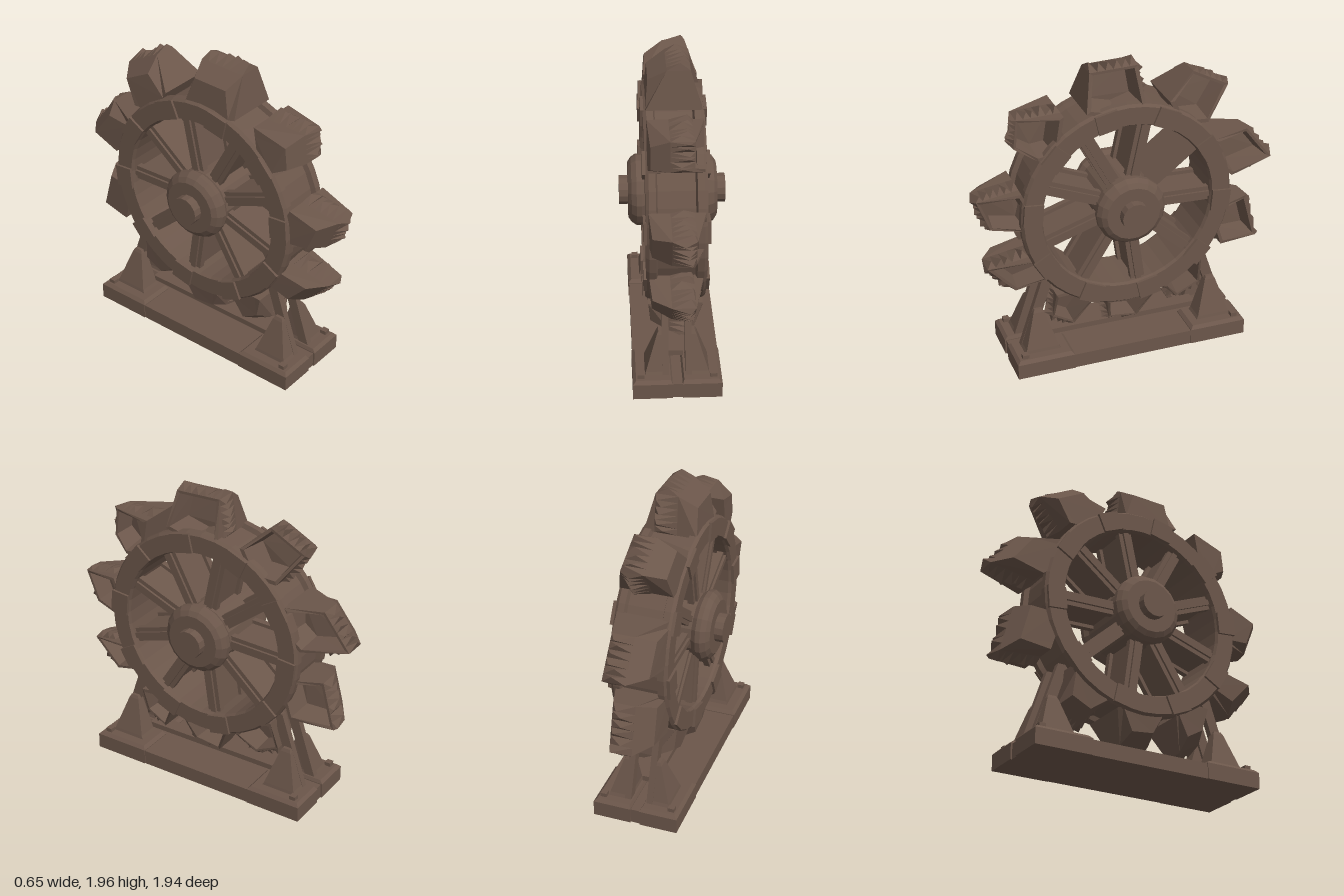
import * as THREE from 'three';

const CY = 1.03, CZ = 0.035; // wheel centre
const iron = new THREE.MeshStandardMaterial({ color: 0x6b564a, flatShading: true, side: THREE.DoubleSide });
iron.name = 'rusty iron';

function add(parent, geometry, name, x = 0, y = 0, z = 0) {
  const mesh = new THREE.Mesh(geometry, iron);
  mesh.name = name;
  mesh.position.set(x, y, z);
  parent.add(mesh);
  return mesh;
}

const box = (parent, name, w, h, d, x, y, z) => add(parent, new THREE.BoxGeometry(w, h, d), name, x, y, z);

// Skin a list of equal-length point loops and close both ends
function loft(loops) {
  const pos = [];
  const tri = (...pts) => pts.forEach((p) => pos.push(p.x, p.y, p.z));
  const n = loops[0].length;
  for (let s = 0; s < loops.length - 1; s++) {
    for (let i = 0; i < n; i++) {
      const j = (i + 1) % n, a = loops[s], b = loops[s + 1];
      tri(a[i], b[i], b[j]);
      tri(a[i], b[j], a[j]);
    }
  }
  for (const end of [loops[0], loops[loops.length - 1]]) {
    for (let i = 1; i < n - 1; i++) tri(end[0], end[i], end[i + 1]);
  }
  return geometryFrom(pos);
}

function geometryFrom(pos) {
  const g = new THREE.BufferGeometry();
  g.setAttribute('position', new THREE.Float32BufferAttribute(pos, 3));
  g.computeVertexNormals();
  return g;
}

// Turned part around the axle: points are [radius, x]
function turned(points, segments) {
  const g = new THREE.LatheGeometry(points.map(([r, x]) => new THREE.Vector2(r, x)), segments);
  return g.rotateZ(-Math.PI / 2);
}

let seed = 7;
const rand = () => (seed = (seed * 16807) % 2147483647) / 2147483647;

// Side profiles [z, y] of the buckets: back root, outer back, outer tip, front root
const BUCKETS = [
  [[0.29, 1.68], [0.25, 1.91], [-0.05, 1.92], [-0.08, 1.68]],
  [[-0.23, 1.68], [-0.40, 1.83], [-0.63, 1.71], [-0.48, 1.51]],
  [[-0.53, 1.38], [-0.77, 1.39], [-0.94, 1.17], [-0.65, 1.12]],
  [[-0.56, 0.90], [-0.78, 0.92], [-0.86, 0.62], [-0.59, 0.64]],
  [[-0.46, 0.56], [-0.48, 0.35], [-0.32, 0.27], [-0.21, 0.40]],
  [[-0.14, 0.37], [-0.05, 0.19], [0.14, 0.21], [0.17, 0.37]],
  [[0.27, 0.40], [0.37, 0.22], [0.51, 0.30], [0.50, 0.49]],
  [[0.50, 0.63], [0.74, 0.54], [0.91, 0.72], [0.60, 0.77]],
  [[0.66, 0.97], [0.88, 0.99], [0.96, 1.19], [0.70, 1.23]],
  [[0.59, 1.43], [0.72, 1.50], [0.70, 1.68], [0.43, 1.69]],
];

function bucket(profile) {
  const group = new THREE.Group();
  group.name = 'bucket';
  const pts = profile.map(([z, y]) => new THREE.Vector2(z, y));
  const mid = pts.reduce((s, p) => s.add(p), new THREE.Vector2()).multiplyScalar(0.25);
  const hub = new THREE.Vector2(CZ, CY);
  const root = mid.clone().sub(hub).setLength(0.6).add(hub);
  pts.push(root); // buried in the rim
  const outer = (i) => i === 1 || i === 2;
  const section = (centre, scale, xRoot, xOuter) => pts.map((p, i) => {
    const q = centre.clone().lerp(p, scale);
    return new THREE.Vector3(outer(i) ? xOuter : xRoot, q.y, q.x);
  });
  // closed shell on one side, hollow on the other
  add(group, loft([
    section(root, 0.76, -0.165, -0.15),
    section(root, 1, -0.165, -0.04),
    section(root, 1, 0.165, 0.1),
    section(mid, 0.86, 0.165, 0.1),
    section(mid, 0.72, 0, -0.03),
  ]), 'bucket shell');

  // ragged cutting teeth along the outer and leading edges
  const pos = [];
  for (const e of [1, 2]) {
    const a = pts[e], b = pts[e + 1];
    const along = b.clone().sub(a);
    const out = new THREE.Vector2(-along.y, along.x).normalize();
    if (out.dot(mid.clone().sub(a)) > 0) out.negate();
    const n = 6;
    for (let i = 0; i < n; i++) {
      const p = a.clone().lerp(b, i / n), q = a.clone().lerp(b, (i + 1) / n);
      const t = a.clone().lerp(b, (i + 0.25 + 0.7 * rand()) / n).addScaledVector(out, 0.02 + 0.025 * rand());
      const x = 0.1, back = -0.04, tip = 0.02 + 0.07 * rand();
      pos.push(x, p.y, p.x, x, q.y, q.x, tip, t.y, t.x);
      pos.push(back, q.y, q.x, back, p.y, p.x, tip, t.y, t.x);
      pos.push(back, p.y, p.x, x, p.y, p.x, tip, t.y, t.x);
      pos.push(x, q.y, q.x, back, q.y, q.x, tip, t.y, t.x);
    }
  }
  add(group, geometryFrom(pos), 'bucket teeth');
  return group;
}

function wheel() {
  const group = new THREE.Group();
  group.name = 'wheel';
  group.position.set(0, CY, CZ);
  // rim with raised side flanges
  add(group, turned([[0.55, -0.18], [0.66, -0.18], [0.675, -0.16], [0.675, -0.12], [0.645, -0.11],
    [0.645, 0.11], [0.675, 0.12], [0.675, 0.16], [0.66, 0.18], [0.55, 0.18], [0.54, 0.16],
    [0.54, -0.16], [0.55, -0.18]], 40), 'rim');
  // hub, bearing rings and axle
  add(group, turned([[0, -0.27], [0.17, -0.27], [0.2, -0.25], [0.22, -0.22], [0.22, -0.19], [0.2, -0.16],
    [0.2, 0.16], [0.22, 0.19], [0.22, 0.22], [0.2, 0.25], [0.17, 0.27], [0, 0.27]], 18), 'hub');
  add(group, turned([[0, -0.325], [0.09, -0.325], [0.09, 0.325], [0, 0.325]], 14), 'axle');

  // spokes: broad web with a flange on both faces
  for (let i = 0; i < 9; i++) {
    const spoke = new THREE.Group();
    spoke.name = 'spoke';
    spoke.rotation.x = Math.PI / 2 - THREE.MathUtils.degToRad(-2 + i * 40);
    spoke.rotation.x *= -1;
    box(spoke, 'spoke web', 0.24, 0.38, 0.045, 0, 0.37, 0);
    for (const s of [-1, 1]) {
      box(spoke, 'spoke flange', 0.04, 0.38, 0.09, s * 0.12, 0.37, 0);
      box(spoke, 'spoke rib', 0.02, 0.36, 0.035, s * 0.145, 0.37, 0);
    }
    group.add(spoke);
    // mirror the turn so that angles run from -z toward +y
  }
  // clamps on the rim faces
  for (let i = 0; i < 10; i++) {
    const clamp = new THREE.Group();
    clamp.name = 'rim clamp';
    clamp.rotation.x = (i + 0.35) * Math.PI / 5;
    for (const s of [-1, 1]) box(clamp, 'clamp plate', 0.02, 0.12, 0.14, s * 0.185, 0.605, 0);
    group.add(clamp);
  }
  return group;
}

// Rectangle loop at height y
const rect = (y, x0, x1, z0, z1) => [[x0, z0], [x1, z0], [x1, z1], [x0, z1]].map(([x, z]) => new THREE.Vector3(x, y, z));

function stand() {
  const group = new THREE.Group();
  group.name = 'stand';
  box(group, 'base plate', 0.53, 0.095, 1.5, 0, 0.0475, 0.03);
  for (const e of [-1, 1]) {
    const z = (v) => 0.03 + e * v;
    for (const s of [-1, 1]) {
      // foot slab, tapered pedestal and strut
      add(group, loft([
        rect(0, s * 0.03, s * 0.27, z(0.39), z(0.76)),
        rect(0.1, s * 0.03, s * 0.27, z(0.39), z(0.76)),
        rect(0.12, s * 0.04, s * 0.25, z(0.41), z(0.74)),
      ]), 'foot slab');
      add(group, loft([
        rect(0.1, s * 0.05, s * 0.2, z(0.45), z(0.7)),
        rect(0.14, s * 0.06, s * 0.19, z(0.47), z(0.68)),
        rect(0.36, s * 0.07, s * 0.12, z(0.54), z(0.61)),
        rect(0.38, s * 0.07, s * 0.11, z(0.55), z(0.6)),
      ]), 'pedestal');
      add(group, loft([
        rect(0.12, s * 0.05, s * 0.09, z(0.62), z(0.69)),
        rect(0.6, s * 0.05, s * 0.09, z(0.46), z(0.53)),
      ]), 'strut');
      box(group, 'bolt', 0.04, 0.03, 0.04, s * 0.22, 0.13, z(0.7));
    }
  }
  box(group, 'tie bar', 0.09, 0.035, 1.0, 0, 0.148, 0.03);
  return group;
}

export function createModel() {
  const model = new THREE.Group();
  model.name = 'bucketWheel';
  model.add(stand(), wheel());
  const buckets = new THREE.Group();
  buckets.name = 'buckets';
  BUCKETS.forEach((p) => buckets.add(bucket(p)));
  model.add(buckets);
  return model;
}
